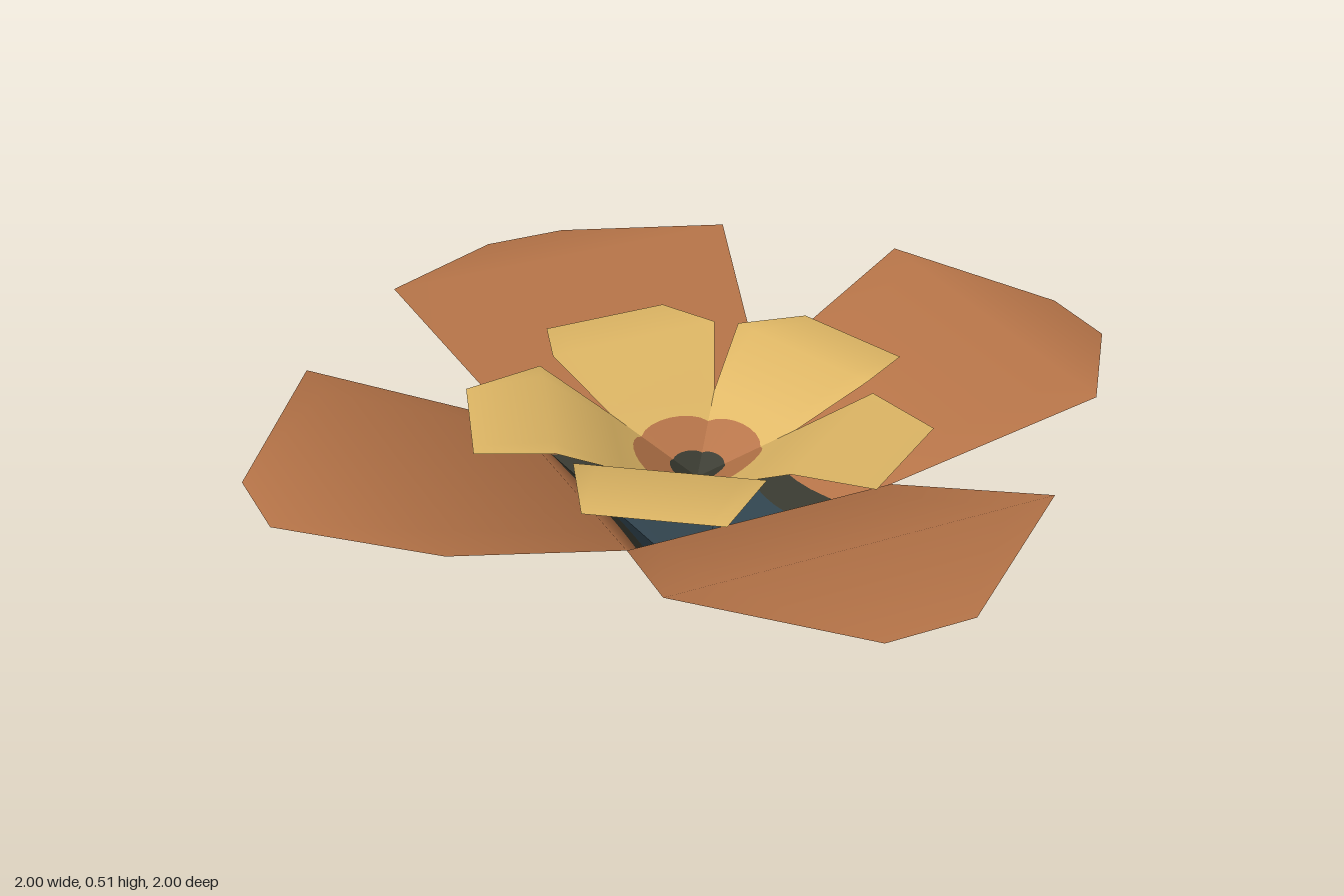
import * as THREE from 'three';

const mat = (name, color) =>
  new THREE.MeshStandardMaterial({ name, color, side: THREE.DoubleSide });

// One thin petal pointing to +z, lofted from cross rows.
// Each row: r = distance out, y = height, w = half width, bow = curve of the row
// within the sloping base, m = material of the strip that ends at this row.
function petalGeometry(apexY, rows, columns = 8) {
  const pos = [], index = [];
  const geo = new THREE.BufferGeometry();
  const all = [{ r: 0, y: apexY, w: 0 }, ...rows];
  all.forEach(({ r, y, w, bow = 0 }) => {
    for (let j = 0; j <= columns; j++) {
      const u = (j / columns) * 2 - 1;
      const k = 1 + bow * u * u;
      pos.push(w * k * u, apexY + (y - apexY) * k, r * k);
    }
  });
  rows.forEach((row, i) => {
    const start = index.length;
    for (let j = 0; j < columns; j++) {
      const a = i * (columns + 1) + j, b = a + columns + 1;
      if (i > 0) index.push(a, b, a + 1);
      index.push(a + 1, b, b + 1);
    }
    geo.addGroup(start, index.length - start, row.m);
  });
  geo.setAttribute('position', new THREE.Float32BufferAttribute(pos, 3));
  geo.setIndex(index);
  geo.computeVertexNormals();
  return geo;
}

// Row lying on the straight slope between the apex and the petal base
function slopeRow(apexY, base, t, bow, m) {
  return { r: base.r * t, y: apexY + (base.y - apexY) * t, w: base.w * t, bow, m };
}

function ring(name, geo, mats, count, startAngle) {
  const group = new THREE.Group();
  group.name = name + 's';
  for (let i = 0; i < count; i++) {
    const petal = new THREE.Mesh(geo, mats);
    petal.name = name;
    petal.rotation.y = startAngle + (i * Math.PI * 2) / count;
    group.add(petal);
  }
  return group;
}

export function createModel() {
  const mats = [
    mat('slate', 0x2f434e),
    mat('charcoal', 0x38392f),
    mat('terracotta', 0xb67448),
    mat('golden', 0xdfb765),
  ];
  const model = new THREE.Group();
  model.name = 'flower';

  // Four large outer petals meeting in a pointed square base
  const outerBase = { r: 0.315, y: 0.345, w: 0.315, m: 2 };
  const outer = petalGeometry(0, [
    slopeRow(0, outerBase, 0.54, 0.12, 0),
    slopeRow(0, outerBase, 0.7, 0.13, 1),
    outerBase,
    { r: 0.75, y: 0.515, w: 0.435, m: 2 },
    { r: 1, y: 0.465, w: 0.1, m: 2 },
  ]);
  model.add(ring('outerPetal', outer, mats, 4, 0));

  // Five small inner petals around a shallow cup with a dark eye
  const apex = 0.28;
  const innerBase = { r: 0.18, y: 0.383, w: 0.131, m: 3 };
  const inner = petalGeometry(apex, [
    slopeRow(apex, innerBase, 0.34, -0.19, 1),
    slopeRow(apex, innerBase, 0.79, -0.19, 2),
    innerBase,
    { r: 0.33, y: 0.478, w: 0.205, m: 3 },
    { r: 0.5, y: 0.46, w: 0.15, m: 3 },
  ]);
  model.add(ring('innerPetal', inner, mats, 5, Math.PI));

  return model;
}
